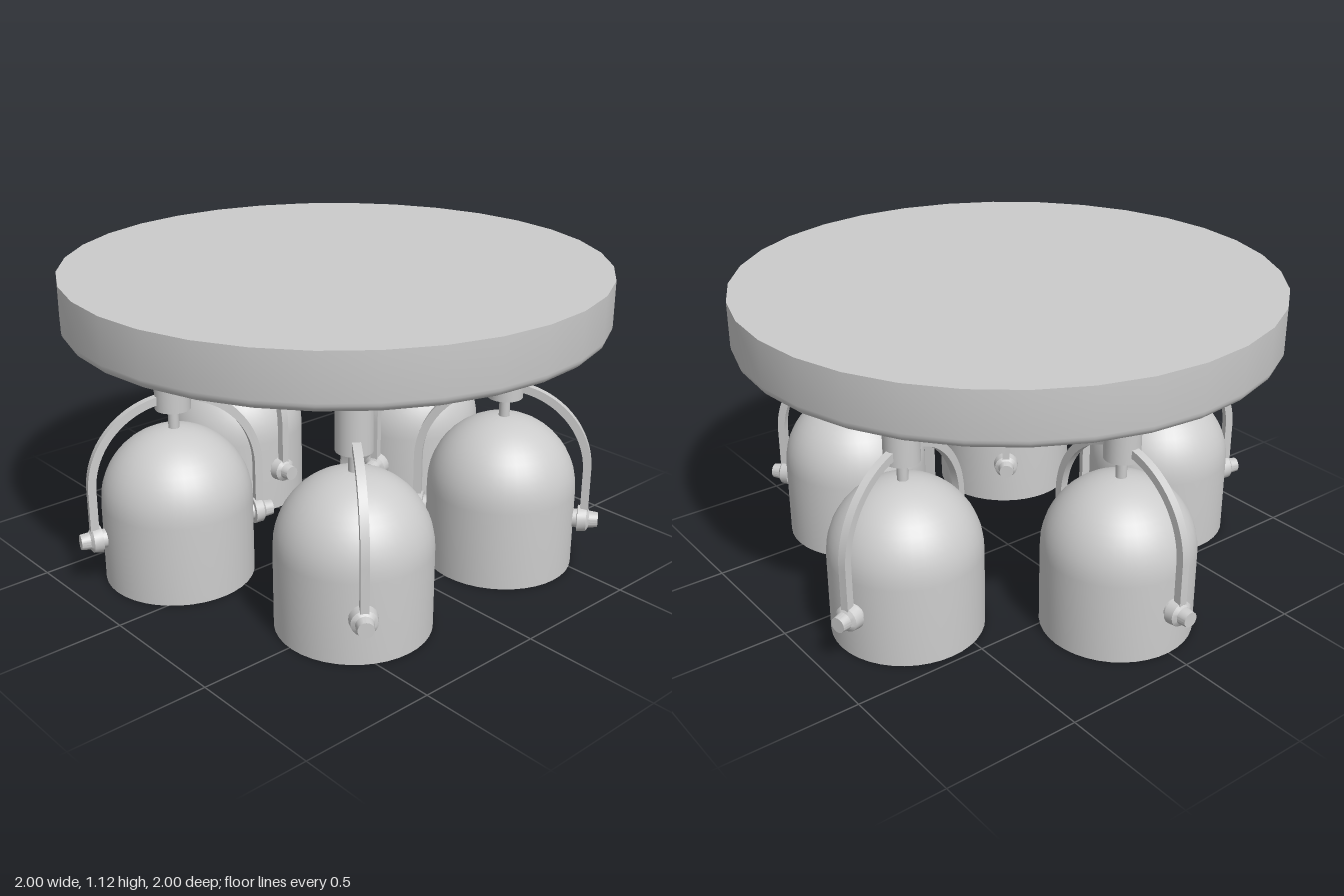
import * as THREE from 'three';
import { toCreasedNormals } from 'three/addons/utils/BufferGeometryUtils.js';

const material = new THREE.MeshStandardMaterial({ color: 0xcccccc });

function part(name, geometry) {
  const mesh = new THREE.Mesh(geometry, material);
  mesh.name = name;
  return mesh;
}

function lathe(points, segments) {
  const profile = points.map(([r, y]) => new THREE.Vector2(r, y));
  return toCreasedNormals(new THREE.LatheGeometry(profile, segments), 0.6);
}

// Quarter-ellipse of profile points between two angles
function arc(cx, cy, rx, ry, from, to, steps) {
  return Array.from({ length: steps + 1 }, (_, i) => {
    const a = from + ((to - from) * i) / steps;
    return [Math.max(0, cx + rx * Math.cos(a)), cy + ry * Math.sin(a)];
  });
}

// Round ceiling plate with a softened lower edge
function canopyGeometry() {
  return lathe([
    [0, 0.92],
    ...arc(0.965, 0.955, 0.035, 0.035, -Math.PI / 2, 0, 5),
    [1, 1.12], [0, 1.12],
  ], 32);
}

// Thin-walled bell shade, open at the bottom
function shadeGeometry() {
  const r = 0.277, wall = 0.012, spring = 0.3;
  return lathe([
    ...arc(0, spring, r - wall, r - wall, Math.PI / 2, 0, 12),
    [r - wall, 0], [r, 0],
    ...arc(0, spring, r, r, 0, Math.PI / 2, 12),
  ], 40);
}

// Square-section hoop with straight legs
function yokeGeometry() {
  const outer = 0.33, inner = 0.3, springY = 0.38, footY = 0.185, depth = 0.03;
  const shape = new THREE.Shape();
  shape.moveTo(outer, footY);
  shape.lineTo(outer, springY);
  shape.absarc(0, springY, outer, 0, Math.PI, false);
  shape.lineTo(-outer, footY);
  shape.lineTo(-inner, footY);
  shape.lineTo(-inner, springY);
  shape.absarc(0, springY, inner, Math.PI, 0, true);
  shape.lineTo(inner, footY);
  const geometry = new THREE.ExtrudeGeometry(shape, { depth, bevelEnabled: false, curveSegments: 24 });
  geometry.translate(0, 0, -depth / 2);
  return toCreasedNormals(geometry, 0.6);
}

// Pivot knob, turned to point along +x
function knobGeometry() {
  const geometry = lathe([
    [0, 0.26], [0.035, 0.26], [0.035, 0.29], [0.05, 0.292],
    [0.046, 0.325], [0.032, 0.335], [0.028, 0.368], [0, 0.368],
  ], 20);
  return geometry.rotateZ(-Math.PI / 2);
}

export function createModel() {
  const model = new THREE.Group();
  model.name = 'ceilingLamp';
  model.add(part('canopy', canopyGeometry()));

  const shade = shadeGeometry();
  const yoke = yokeGeometry();
  const knob = knobGeometry();
  const stem = new THREE.CylinderGeometry(0.065, 0.065, 0.275, 24).translate(0, 0.7875, 0);
  const rod = new THREE.CylinderGeometry(0.02, 0.02, 0.1, 16).translate(0, 0.61, 0);

  // Five spotlights in a ring, each hoop lying along the radius
  const ringRadius = 0.636;
  for (let i = 0; i < 5; i++) {
    const angle = -Math.PI / 2 + (i * 2 * Math.PI) / 5;
    const spot = new THREE.Group();
    spot.name = `spotlight${i + 1}`;
    spot.add(part('shade', shade), part('yoke', yoke), part('stem', stem), part('rod', rod));
    for (const turn of [0, Math.PI]) {
      const pivot = part(turn ? 'innerKnob' : 'outerKnob', knob);
      pivot.position.y = 0.185;
      pivot.rotation.y = turn;
      spot.add(pivot);
    }
    spot.position.set(ringRadius * Math.cos(angle), 0, ringRadius * Math.sin(angle));
    spot.rotation.y = -angle;
    model.add(spot);
  }
  return model;
}
